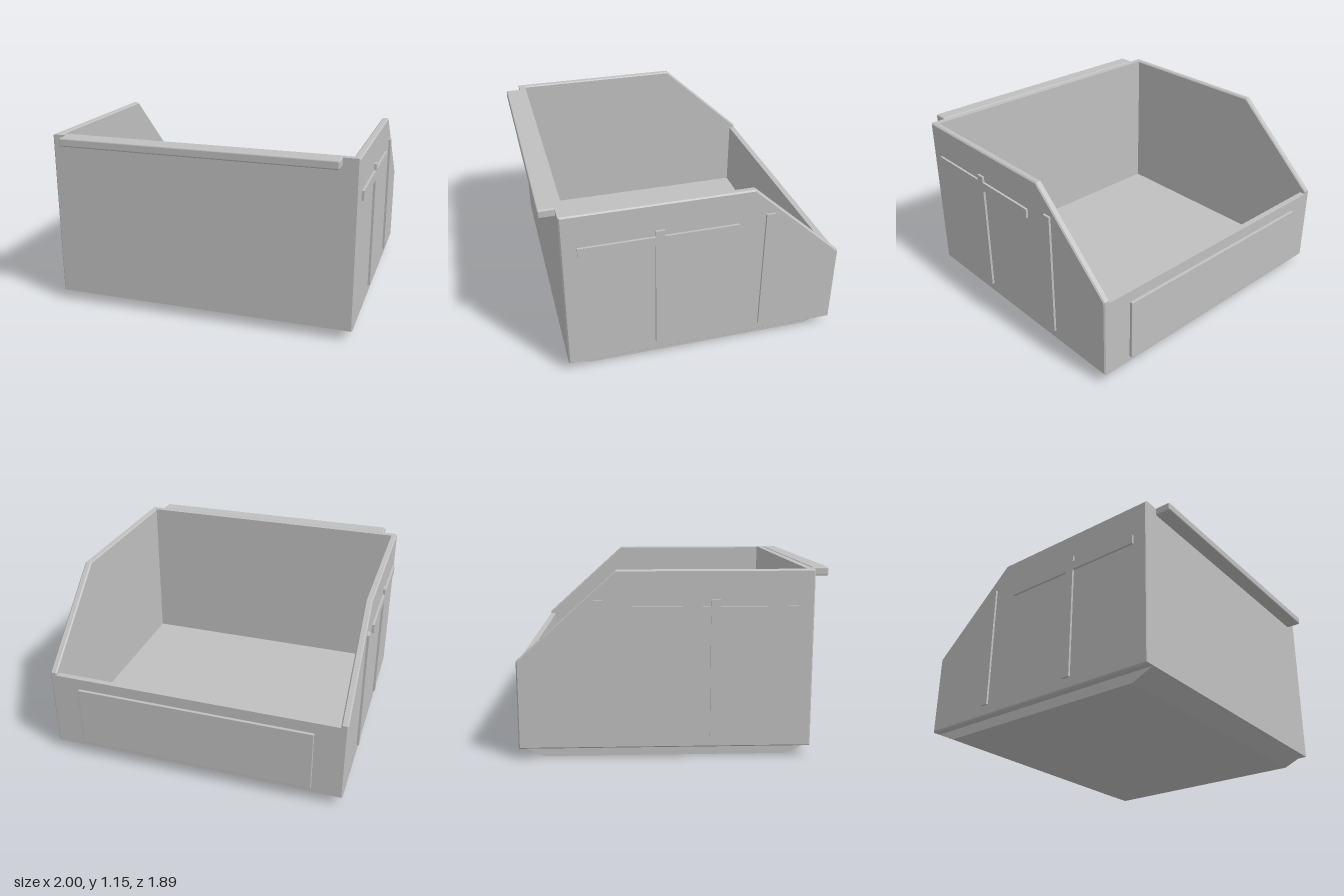
import * as THREE from 'three';
import { RoundedBoxGeometry } from 'three/addons/geometries/RoundedBoxGeometry.js';

const grey = new THREE.MeshStandardMaterial({ color: 0xc0c0c0 });
grey.name = 'grey plastic';

// Box given by its min and max corners, with optional softened edges
function block(name, [x0, y0, z0], [x1, y1, z1], round = 0) {
  const size = [x1 - x0, y1 - y0, z1 - z0];
  const geometry = round
    ? new RoundedBoxGeometry(...size, 2, round)
    : new THREE.BoxGeometry(...size);
  const mesh = new THREE.Mesh(geometry, grey);
  mesh.position.set((x0 + x1) / 2, (y0 + y1) / 2, (z0 + z1) / 2);
  mesh.name = name;
  return mesh;
}

// Profile of [z, y] points, extruded across x between x0 and x1
function slab(name, points, x0, x1, bevel) {
  const shape = new THREE.Shape(points.map(([z, y]) => new THREE.Vector2(z, y)));
  const geometry = new THREE.ExtrudeGeometry(shape, {
    depth: x1 - x0 - 2 * bevel,
    bevelEnabled: bevel > 0,
    bevelSize: bevel,
    bevelThickness: bevel,
    bevelOffset: -bevel,
    bevelSegments: 1,
  });
  geometry.rotateY(-Math.PI / 2);
  geometry.translate(x1 - bevel, 0, 0);
  const mesh = new THREE.Mesh(geometry, grey);
  mesh.name = name;
  return mesh;
}

export function createModel() {
  const bin = new THREE.Group();
  bin.name = 'storageBin';

  // Side walls, sloping down to the low opening at the back
  const sideProfile = [[0.845, 0.065], [0.845, 1.145], [-0.33, 1.145], [-0.925, 0.605], [-0.925, 0.065]];
  bin.add(slab('leftWall', sideProfile, 0.94, 0.985, 0.008));
  bin.add(slab('rightWall', sideProfile, -0.985, -0.94, 0.008));

  // Tall front wall, low back wall and floor
  bin.add(block('frontWall', [-0.955, 0.065, 0.8], [0.955, 1.145, 0.845]));
  bin.add(block('backWall', [-0.955, 0.065, -0.925], [0.955, 0.588, -0.885]));
  bin.add(block('floor', [-0.95, 0.065, -0.9], [0.95, 0.095, 0.82]));

  // Base with slanted ends
  const baseProfile = [[0.845, 0.066], [-0.925, 0.066], [-0.78, 0], [0.7, 0]];
  bin.add(slab('base', baseProfile, -0.93, 0.93, 0));

  // Hanging lip on the front and label plate on the back
  bin.add(block('hangingLip', [-0.885, 1.095, 0.842], [0.885, 1.15, 0.945], 0.01));
  bin.add(block('labelPlate', [-0.785, 0.1, -0.945], [0.785, 0.515, -0.924], 0.004));

  // Raised ribs on both sides
  for (const [name, side] of [['left', 1], ['right', -1]]) {
    const ribs = new THREE.Group();
    ribs.name = name + 'Ribs';
    const rib = (part, z0, z1, y0, y1) => {
      const xs = [side * 0.98, side * 1].sort((a, b) => a - b);
      ribs.add(block(part, [xs[0], y0, z0], [xs[1], y1, z1]));
    };
    rib('crossUpright', 0.23, 0.285, 0.135, 0.97);
    rib('crossBar', -0.235, 0.75, 0.87, 0.93);
    rib('plainUpright', -0.46, -0.405, 0.135, 0.97);
    bin.add(ribs);
  }
  return bin;
}
